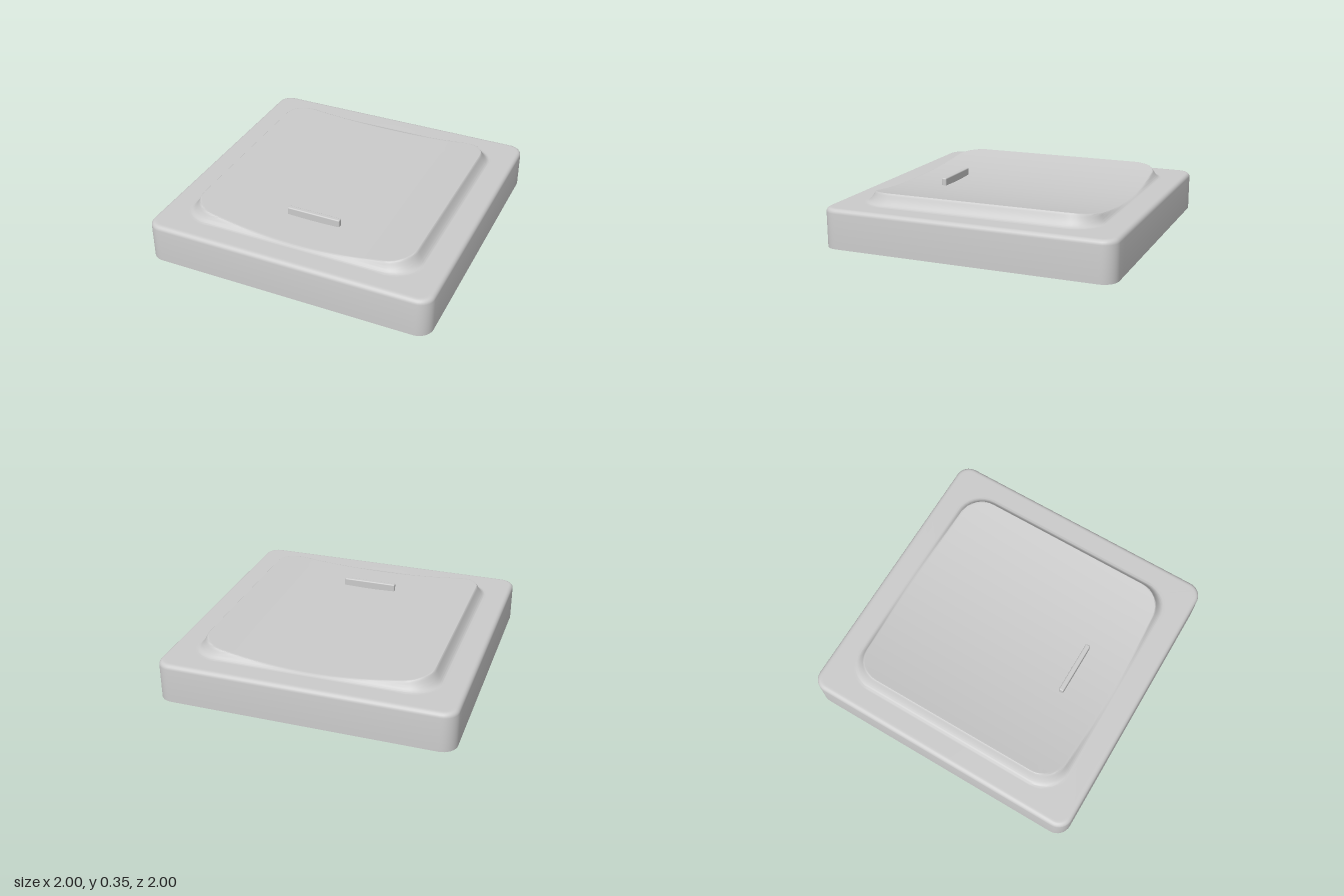
import * as THREE from 'three';
import { toCreasedNormals } from 'three/addons/utils/BufferGeometryUtils.js';
import { RoundedBoxGeometry } from 'three/addons/geometries/RoundedBoxGeometry.js';

const CORNER_STEPS = 8, SIDE_STEPS = 18;

// Square outline with rounded corners, counter-clockwise from above
function outline(h, r) {
  const pts = [], signs = [[1, -1], [-1, -1], [-1, 1], [1, 1]];
  const arc = (q, k) => {
    const a = (q + k / CORNER_STEPS) * Math.PI / 2, [sx, sz] = signs[q % 4];
    return new THREE.Vector2(sx * (h - r) + r * Math.cos(a), sz * (h - r) - r * Math.sin(a));
  };
  for (let q = 0; q < 4; q++) {
    for (let k = 0; k < CORNER_STEPS; k++) pts.push(arc(q, k));
    const a = arc(q, CORNER_STEPS), b = arc(q + 1, 0);
    for (let k = 0; k < SIDE_STEPS; k++) pts.push(a.clone().lerp(b, k / SIDE_STEPS));
  }
  return pts;
}

// Skin over a list of rings [half size, corner radius, height], height being a number or a function of x
function loft(rings) {
  const pos = [], idx = [], n = 4 * (CORNER_STEPS + SIDE_STEPS);
  rings.forEach(([h, r, y], i) => {
    outline(h, r).forEach((p, j) => {
      pos.push(p.x, typeof y === 'function' ? y(p.x) : y, p.y);
      if (i + 1 < rings.length) {
        const a = i * n + j, b = i * n + (j + 1) % n;
        idx.push(a, b, b + n, a, b + n, a + n);
      }
    });
  });
  const g = new THREE.BufferGeometry();
  g.setAttribute('position', new THREE.Float32BufferAttribute(pos, 3));
  g.setIndex(idx);
  return toCreasedNormals(g, 0.6);
}

export function createModel() {
  const group = new THREE.Group();
  const plastic = new THREE.MeshStandardMaterial({ color: 0xcbcbcb });
  plastic.name = 'grey plastic';
  const add = (name, geometry, x = 0, y = 0, z = 0) => {
    const mesh = new THREE.Mesh(geometry, plastic);
    mesh.name = name;
    mesh.position.set(x, y, z);
    group.add(mesh);
    return mesh;
  };

  const deck = 0.27, ceiling = 0.18, inner = 0.92;
  const dish = x => 0.28 + 0.07 * (x / 0.765) ** 2;
  const softMin = (a, b, k = 0.004) => -k * Math.log(Math.exp(-a / k) + Math.exp(-b / k));

  // Hollow underside, then the rim and the outer wall
  const rings = [
    [0.001, 0.0005, ceiling],
    [inner, 0.005, ceiling],
    [inner, 0.005, 0],
    [1, 0.1, 0],
  ];
  // Rounded top edge
  for (let k = 0; k <= 5; k++) {
    const a = k / 5 * Math.PI / 2, inset = 0.03 * (1 - Math.cos(a));
    rings.push([1 - inset, 0.1 - inset, deck - 0.03 + 0.03 * Math.sin(a)]);
  }
  rings.push([0.96, 0.07, deck], [0.85, 0.2, deck]);
  // Flared side of the raised pad, cut off by the dish
  for (let k = 0; k <= 16; k++) {
    const t = k / 16;
    rings.push([0.84 - 0.075 * t, 0.2 - 0.04 * t, x => softMin(deck + 0.12 * t * t, dish(x))]);
  }
  // Concave dish, closing at the centre
  for (let k = 19; k >= 0; k--) {
    const s = Math.max(k / 20, 0.001);
    rings.push([0.765 * s, 0.16 * s, dish]);
  }
  add('capShell', loft(rings));

  // Raised finger bar, its foot sunk into the dish
  add('fingerBar', new RoundedBoxGeometry(0.38, 0.1, 0.034, 3, 0.008), 0, 0.285, 0.507);

  // Curved boss under the ceiling
  const boss = new THREE.Shape();
  boss.moveTo(-0.235, 0.01);
  boss.lineTo(-0.235, 0);
  boss.quadraticCurveTo(0, -0.13, 0.235, 0);
  boss.lineTo(0.235, 0.01);
  add('undersideBoss', toCreasedNormals(
    new THREE.ExtrudeGeometry(boss, { depth: 0.18, bevelEnabled: false, curveSegments: 20 }), 0.5),
  0, ceiling, -0.09);

  // Corner brackets inside the front and back walls: a full-height post with a tapering lip
  const bracket = side => {
    const shape = new THREE.Shape(
      [[0.56, 0], [inner, 0], [inner, 0.03], [0.67, 0.1], [0.67, ceiling], [0.56, ceiling]]
        .map(([x, y]) => new THREE.Vector2(side * x, y)));
    return new THREE.ExtrudeGeometry(shape, { depth: 0.12, bevelEnabled: false });
  };
  for (const side of [-1, 1]) for (const z of [-inner, inner - 0.12]) {
    add('cornerBracket', bracket(side), 0, 0, z);
  }
  return group;
}
